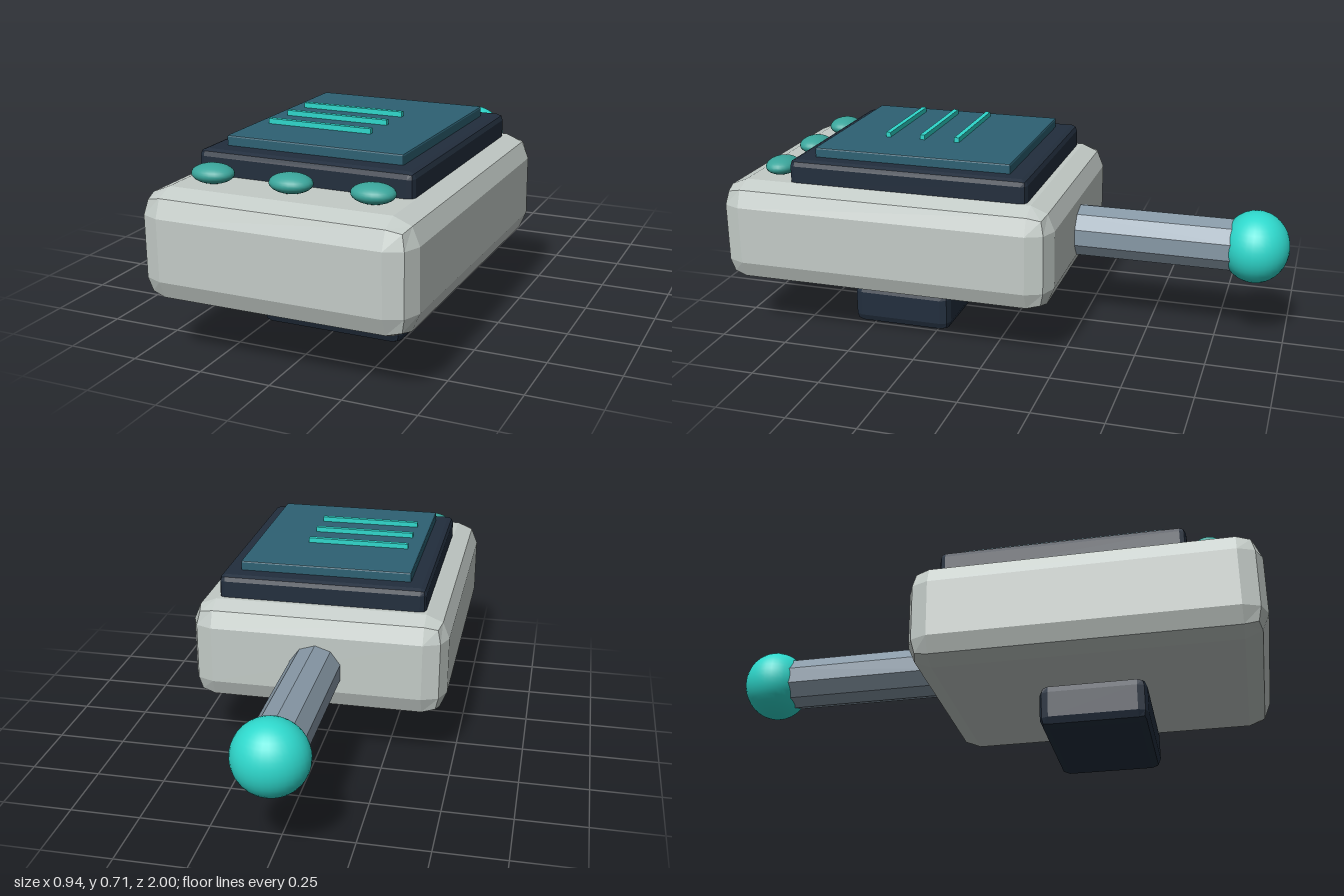
import * as THREE from 'three';
import { RoundedBoxGeometry } from 'three/addons/geometries/RoundedBoxGeometry.js';

const paint = (name, color) => {
  const m = new THREE.MeshStandardMaterial({ color });
  m.name = name;
  return m;
};

export function createModel() {
  const model = new THREE.Group();
  model.name = 'handheldDevice';

  const shell = paint('paleGreyShell', 0xc3cbc7);
  const navy = paint('darkNavy', 0x222e3d);
  const glass = paint('screenTeal', 0x2d6173);
  const bright = paint('brightTurquoise', 0x2ed8cc);
  const button = paint('buttonTeal', 0x3aa59b);
  const steel = paint('blueGreySteel', 0x8798a6);

  const add = (name, geometry, material, x, y, z) => {
    const mesh = new THREE.Mesh(geometry, material);
    mesh.name = name;
    mesh.position.set(x, y, z);
    model.add(mesh);
    return mesh;
  };

  // Box with faceted two-step bevels, given by its y and z extents
  const block = (name, material, width, [y0, y1], [z0, z1], radius) => {
    const g = new RoundedBoxGeometry(width, y1 - y0, z1 - z0, 1, radius);
    g.computeVertexNormals();
    return add(name, g, material, 0, (y0 + y1) / 2, (z0 + z1) / 2);
  };

  // Main case, grip block below, raised bezel and screen
  block('case', shell, 0.94, [0.2, 0.58], [-0.235, 1], 0.085);
  block('gripBlock', navy, 0.525, [0, 0.16], [0.2, 0.577], 0.034);
  block('screenBezel', navy, 0.76, [0.55, 0.662], [-0.132, 0.75], 0.022);
  block('screen', glass, 0.63, [0.64, 0.697], [-0.057, 0.673], 0.006);

  // Lines on the screen
  for (const z of [0.205, 0.337, 0.47]) {
    add('screenLine', new THREE.BoxGeometry(0.38, 0.025, 0.018), bright, -0.075, 0.7025, z);
  }

  // Row of oval buttons
  for (const x of [-0.28, 0, 0.28]) {
    add('button', new THREE.SphereGeometry(1, 24, 16), button, x, 0.61, 0.822)
      .scale.set(0.073, 0.032, 0.058);
  }

  // Faceted rod at the back with a ball tip
  const rod = new THREE.CylinderGeometry(0.097, 0.097, 0.65, 10).toNonIndexed();
  rod.computeVertexNormals();
  add('antennaRod', rod, steel, 0, 0.365, -0.515).rotation.x = Math.PI / 2;
  add('antennaTip', new THREE.SphereGeometry(1, 32, 20), bright, 0, 0.366, -0.879)
    .scale.set(0.131, 0.131, 0.121);

  return model;
}
